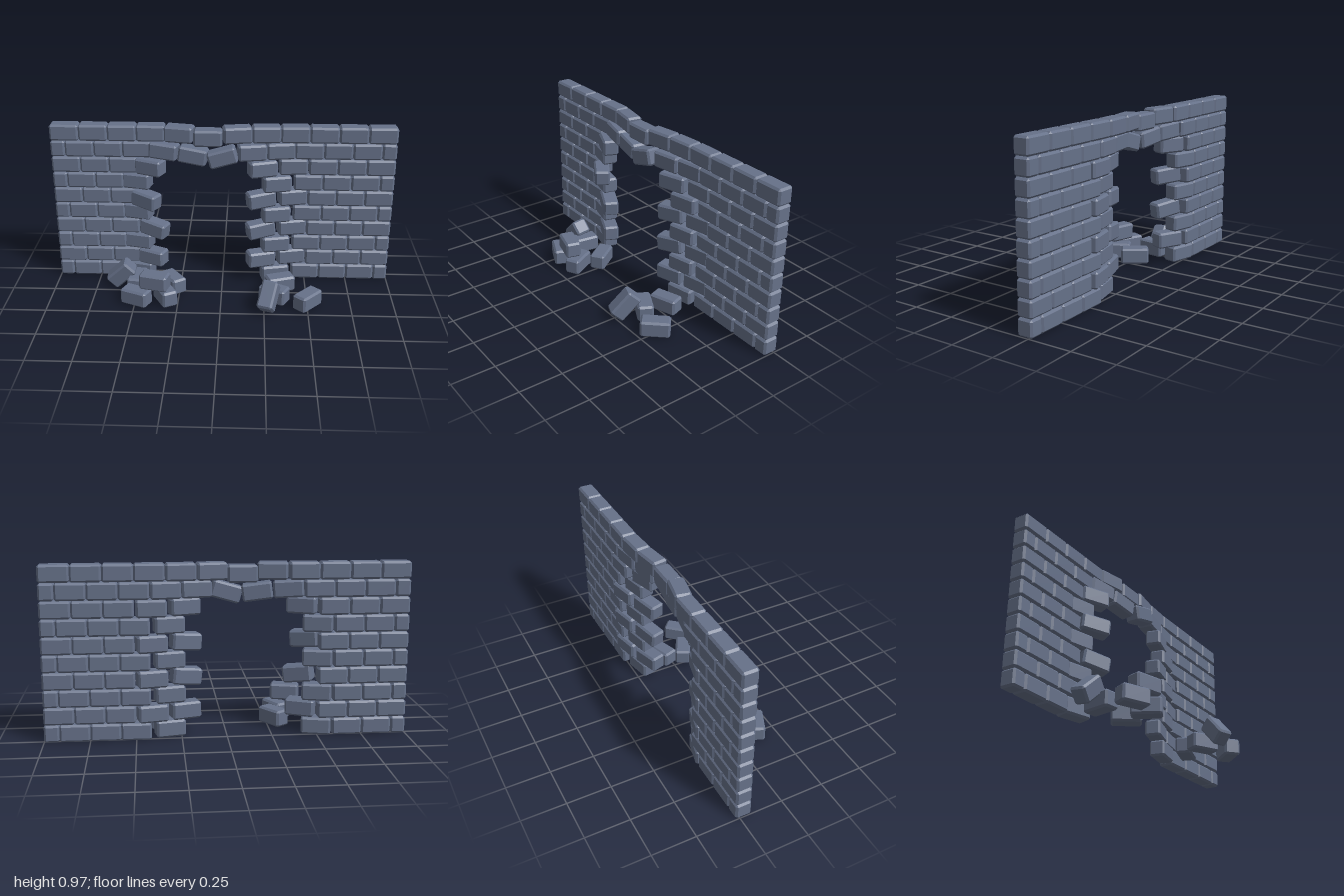
import * as THREE from 'three';
import { ConvexGeometry } from 'three/addons/geometries/ConvexGeometry.js';

const L = 0.166, H = 0.095, D = 0.092, WALL_Z = -0.227, PITCH = 1 / 6;
const rowY = (r) => 0.0525 + r * 0.097;

// Box with every edge and corner cut flat
function chamferedBrick(l, h, d, c = 0.011) {
  const pts = [];
  for (const x of [-l / 2, l / 2]) for (const y of [-h / 2, h / 2]) for (const z of [-d / 2, d / 2]) {
    const cx = c * Math.sign(x), cy = c * Math.sign(y), cz = c * Math.sign(z);
    pts.push(new THREE.Vector3(x, y - cy, z - cz), new THREE.Vector3(x - cx, y, z - cz), new THREE.Vector3(x - cx, y - cy, z));
  }
  return new ConvexGeometry(pts);
}

export function createModel() {
  const model = new THREE.Group();
  model.name = 'brokenBrickWall';
  const stone = new THREE.MeshStandardMaterial({ color: 0x667189 });
  stone.name = 'slateBlue';
  const full = chamferedBrick(L, H, D), half = chamferedBrick(L / 2, H, D);

  const groups = {};
  for (const name of ['wall', 'looseBricks', 'rubble']) {
    groups[name] = new THREE.Group();
    groups[name].name = name;
    model.add(groups[name]);
  }
  // yaw, roll and pitch in degrees
  function brick(group, name, x, y, z, yaw = 0, roll = 0, pitch = 0, geo = full) {
    const m = new THREE.Mesh(geo, stone);
    m.name = name;
    m.position.set(x, y, z);
    const rad = THREE.MathUtils.degToRad;
    m.rotation.set(rad(pitch), rad(yaw), rad(roll), 'YXZ');
    groups[group].add(m);
  }

  // Straight courses on both sides of the hole, in running bond
  for (let r = 0; r < 10; r++) {
    const y = rowY(r);
    for (const s of [-1, 1]) {
      if (r % 2) {
        const n = r === 9 ? 4 : 3;
        for (let i = 0; i < n; i++) brick('wall', 'wallBrick', s * (1 - (i + 0.5) * PITCH), y, WALL_Z);
      } else {
        const n = s > 0 || r === 8 ? 3 : 2;
        brick('wall', 'halfBrick', s * (1 - PITCH / 4), y, WALL_Z, 0, 0, 0, half);
        for (let i = 1; i <= n; i++) brick('wall', 'wallBrick', s * (1 - PITCH * i), y, WALL_Z);
      }
    }
  }

  // Shifted bricks along the edges of the hole
  for (const r of [0, 2, 4, 6]) {
    brick('looseBricks', 'leftEdgeBrick', -0.503, rowY(r), -0.215, -14);
    brick('looseBricks', 'rightEdgeBrick', 0.315, rowY(r), -0.19, 12);
  }
  const oddEdges = [ // row, then x, z, yaw, roll at -x, then x, roll at +x
    [1, -0.42, -0.18, -25, 0, 0.23, 0],
    [3, -0.405, -0.17, -25, -8, 0.225, 7],
    [5, -0.447, -0.146, -31, -5, 0.225, 5],
    [7, -0.42, -0.18, -24, 0, 0.23, 0],
  ];
  for (const [r, lx, lz, lyaw, lroll, rx, rroll] of oddEdges) {
    brick('looseBricks', 'leftEdgeBrick', lx, rowY(r), lz, lyaw, lroll);
    brick('looseBricks', 'rightEdgeBrick', rx, rowY(r), -0.175, 17, rroll);
    brick('looseBricks', 'rightInnerBrick', 0.41, rowY(r), WALL_Z, r === 7 ? 4 : 12);
  }

  // Sagging lintel over the hole
  const lintel = [ // x, y, z, yaw, roll
    [-0.34, 0.825, -0.20, -12, -4], [-0.17, 0.808, -0.175, -8, -8], [0, 0.807, -0.15, 0, 16],
    [0.168, 0.828, -0.185, 10, 0], [0.334, 0.828, -0.218, 8, 0],
    [-0.25, 0.925, -0.208, -11, 0], [-0.085, 0.909, -0.193, 0, 0],
    [0.083, 0.925, -0.205, 9, 0], [0.25, 0.925, -0.222, 4, 0],
  ];
  for (const b of lintel) brick('looseBricks', 'lintelBrick', ...b);

  // Fallen bricks on the ground
  const rubble = [ // x, y, z, yaw, roll, pitch
    [-0.60, 0.095, -0.053, 0, 43, 7], [-0.505, 0.0525, -0.04, 82], [-0.29, 0.0525, -0.03, -55],
    [-0.49, 0.0525, 0.145, -24], [-0.38, 0.152, 0.142, -15], [-0.325, 0.0525, 0.12, -62],
    [0.345, 0.0525, -0.04, 19], [0.31, 0.0525, 0.09, -28],
    [0.275, 0.095, 0.20, 70, 47], [0.50, 0.0525, 0.153, 48],
  ];
  for (const b of rubble) brick('rubble', 'fallenBrick', ...b);
  return model;
}
